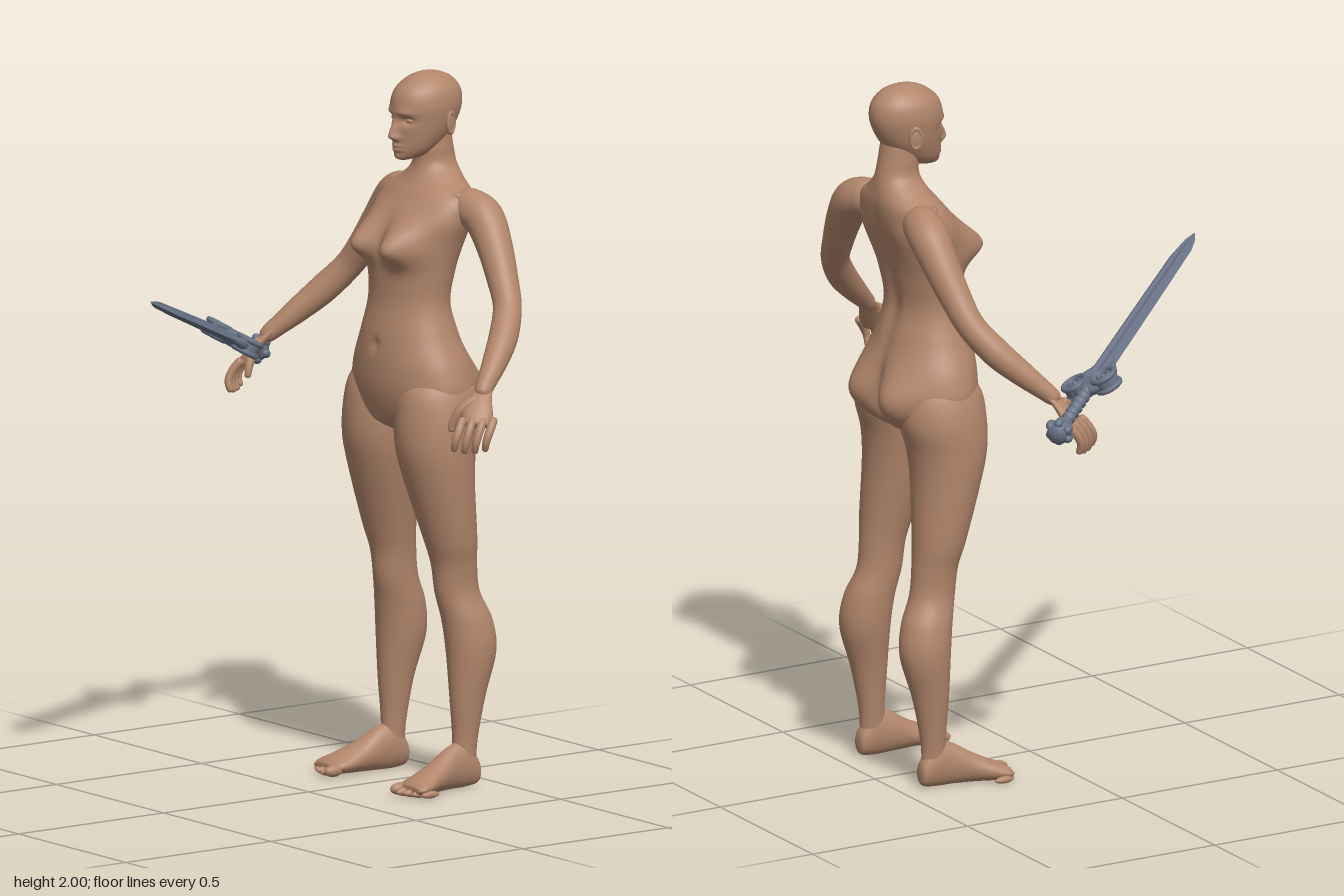
import * as THREE from 'three';

const skin = new THREE.MeshStandardMaterial({ color: 0xb2866b });
skin.name = 'skin';
const steel = new THREE.MeshStandardMaterial({ color: 0x687284 });
steel.name = 'steel';
const V = (x, y, z) => new THREE.Vector3(x, y, z);
const gauss = (d, s) => Math.exp(-(d * d) / (s * s));

// Closed skin over rings: fn(u, v) gives a point, u runs round and v along
function grid(nu, nv, fn) {
  const pos = [], idx = [], a = V(0, 0, 0), b = V(0, 0, 0);
  for (let j = 0; j <= nv; j++) for (let i = 0; i < nu; i++) {
    const p = fn(i / nu, j / nv);
    pos.push(p.x, p.y, p.z);
    if (j === 0) a.addScaledVector(p, 1 / nu);
    if (j === nv) b.addScaledVector(p, 1 / nu);
  }
  const n = nu * (nv + 1);
  pos.push(a.x, a.y, a.z, b.x, b.y, b.z);
  for (let i = 0; i < nu; i++) {
    const k = (i + 1) % nu;
    for (let j = 0; j < nv; j++) {
      const r = j * nu, s = r + nu;
      idx.push(r + i, r + k, s + k, r + i, s + k, s + i);
    }
    idx.push(n, k, i, n + 1, nv * nu + i, nv * nu + k);
  }
  const g = new THREE.BufferGeometry();
  g.setAttribute('position', new THREE.Float32BufferAttribute(pos, 3));
  g.setIndex(idx);
  g.computeVertexNormals();
  return g;
}

// Smooth interpolation of table rows, t from 0 to 1
function sample(rows, t) {
  const f = Math.min(t, 0.99999) * (rows.length - 1), i = Math.floor(f), w = f - i;
  const at = k => rows[Math.max(0, Math.min(rows.length - 1, k))];
  return rows[0].map((_, c) => {
    const [p, q, r, s] = [at(i - 1)[c], at(i)[c], at(i + 1)[c], at(i + 2)[c]];
    return q + 0.5 * w * (r - p + w * (2 * p - 5 * q + 4 * r - s + w * (3 * (q - r) + s - p)));
  });
}

// Upright loft, rows are [y, x right side, x left side, z front, z back]
function loft(rows, nu, nv, shape) {
  return grid(nu, nv, (u, v) => {
    const [y, x0, x1, zf, zb] = sample(rows, v), a = u * Math.PI * 2;
    const p = V((x0 + x1) / 2 + (x1 - x0) / 2 * Math.sin(a), y, (zf + zb) / 2 + (zf - zb) / 2 * Math.cos(a));
    if (shape) shape(p, Math.cos(a));
    return p;
  });
}
const symmetric = rows => rows.map(([y, r, zf, zb]) => [y, -r, r, zf, zb]);

// Round-ended limb, rows are [x, y, z, radius]; flat squashes it across ref
function limb(rows, nu, nv, flat = 1, ref = V(0, 0, 1)) {
  const at = t => V(...sample(rows, t).slice(0, 3));
  return grid(nu, nv, (u, v) => {
    const t = 0.5 - 0.5 * Math.cos(v * Math.PI), a = u * Math.PI * 2;
    const dir = at(Math.min(1, t + 0.01)).sub(at(Math.max(0, t - 0.01))).normalize();
    const n = dir.clone().cross(ref).normalize(), b = dir.clone().cross(n);
    const e = Math.min(1, Math.min(t, 1 - t) / 0.1);
    const r = sample(rows, t)[3] * Math.sqrt(Math.max(0.0001, 1 - (1 - e) ** 2));
    return at(t).addScaledVector(n, r * flat * Math.cos(a)).addScaledVector(b, r * Math.sin(a));
  });
}

function ellipsoid(x, y, z, rx, ry, rz) {
  return new THREE.SphereGeometry(1, 20, 14).scale(rx, ry, rz).translate(x, y, z);
}

function mirrored(g) {
  const m = g.clone().scale(-1, 1, 1), i = m.index.array;
  for (let k = 0; k < i.length; k += 3) [i[k], i[k + 1]] = [i[k + 1], i[k]];
  return m;
}

function buildSword() {
  const sword = new THREE.Group();
  sword.name = 'sword';
  const add = (name, g) => {
    const m = new THREE.Mesh(g, steel);
    m.name = name;
    sword.add(m);
    return m;
  };
  const lathe = pts => new THREE.LatheGeometry(pts.map(p => new THREE.Vector2(...p)), 20);
  // Pommel with a ring of knobs
  add('pommel', lathe([[0.001, -0.035], [0.02, -0.033], [0.03, -0.02], [0.026, -0.012], [0.036, 0], [0.03, 0.016], [0.02, 0.022], [0.026, 0.032], [0.015, 0.042]]));
  for (let i = 0; i < 6; i++) {
    const a = i * Math.PI / 3;
    add('pommelKnob', ellipsoid(0.03 * Math.cos(a), 0, 0.03 * Math.sin(a), 0.013, 0.018, 0.013));
  }
  // Ridged grip
  const grip = [];
  for (let i = 0; i <= 40; i++) grip.push([0.017 + 0.003 * Math.sin(i * 1.05), 0.035 + i * 0.0043]);
  add('grip', lathe(grip));
  // Guard: centre block and two ringed scrolls
  add('guardCentre', ellipsoid(0, 0.225, 0, 0.06, 0.04, 0.024));
  for (const s of [-1, 1]) {
    const x = s * 0.05, y = 0.232;
    add('guardScroll', new THREE.CylinderGeometry(0.036, 0.036, 0.034, 24).rotateX(Math.PI / 2).translate(x, y, 0));
    for (const z of [-0.017, 0.017]) {
      add('scrollRim', new THREE.TorusGeometry(0.034, 0.008, 8, 28).translate(x, y, z));
      add('scrollRing', new THREE.TorusGeometry(0.017, 0.005, 8, 20).translate(x, y, z));
      add('scrollBoss', ellipsoid(x, y, z, 0.007, 0.007, 0.006));
    }
    add('guardHorn', limb([[s * 0.035, 0.2, 0, 0.012], [s * 0.05, 0.265, 0, 0.016], [s * 0.036, 0.31, 0, 0.01], [s * 0.03, 0.34, 0, 0.004]], 10, 14));
  }
  // Blade with a central groove
  const cut = [[0, 0.35], [0.2, 0.35], [0.42, 0.9], [1, 0], [0.42, -0.9], [0.2, -0.35], [0, -0.35], [-0.2, -0.35], [-0.42, -0.9], [-1, 0], [-0.42, 0.9], [-0.2, 0.35]];
  const rings = [[0.22, 0.042, 0.017], [0.3, 0.044, 0.016], [0.6, 0.041, 0.014], [0.88, 0.037, 0.012], [0.94, 0.022, 0.009], [0.98, 0.001, 0.001]];
  const blade = grid(12, 5, (u, v) => {
    const [y, w, t] = rings[Math.round(v * 5)], c = cut[Math.round(u * 12)];
    return V(c[0] * w, y, c[1] * t);
  }).toNonIndexed();
  blade.computeVertexNormals();
  add('blade', blade);
  // Aim the blade forward, up and across the body
  const dir = V(0.542, 0.306, 0.76).normalize();
  const wide = V(0.89, -0.4, -0.47).addScaledVector(dir, -V(0.89, -0.4, -0.47).dot(dir)).normalize();
  sword.quaternion.setFromRotationMatrix(new THREE.Matrix4().makeBasis(wide, dir, wide.clone().cross(dir)));
  sword.position.set(-0.58, 1.13, -0.25);
  return sword;
}

export function createModel() {
  const model = new THREE.Group();
  model.name = 'swordBearer';
  const body = new THREE.Group();
  body.name = 'body';
  body.position.x = 0.03;
  model.add(body, buildSword());
  const add = (name, g) => {
    const m = new THREE.Mesh(g, skin);
    m.name = name;
    body.add(m);
  };
  const pair = (name, g) => {
    add(name + 'Left', g);
    add(name + 'Right', mirrored(g));
  };

  // Torso and neck
  const torso = symmetric([[0.995, 0.03, -0.28, -0.4], [1.03, 0.15, -0.23, -0.445], [1.1, 0.212, -0.206, -0.465], [1.18, 0.203, -0.2, -0.465],
    [1.27, 0.163, -0.208, -0.445], [1.36, 0.137, -0.225, -0.425], [1.45, 0.144, -0.228, -0.44], [1.53, 0.158, -0.232, -0.462],
    [1.6, 0.175, -0.258, -0.478], [1.66, 0.165, -0.3, -0.485], [1.7, 0.105, -0.33, -0.482], [1.74, 0.06, -0.348, -0.475],
    [1.79, 0.053, -0.348, -0.465], [1.85, 0.05, -0.35, -0.455]]);
  add('torso', loft(torso, 96, 120, (p, c) => {
    const x = Math.abs(p.x), k = Math.min(1, Math.abs(c) * 2.5);
    if (c > 0) p.z += k * (0.066 * gauss(x - 0.075, 0.05) * gauss(p.y - 1.522, p.y > 1.522 ? 0.065 : 0.045)
      - 0.01 * gauss(x, 0.014) * gauss(p.y - 1.245, 0.016));
    else p.z -= k * (0.058 * gauss(x - 0.095, 0.075) * gauss(p.y - 1.1, 0.085) - 0.02 * gauss(x, 0.022) * gauss(p.y - 1.09, 0.09)
      - 0.014 * gauss(x, 0.03) * gauss(p.y - 1.42, 0.18) + 0.01 * gauss(x - 0.1, 0.04) * gauss(p.y - 1.58, 0.07));
  }));
  pair('collarbone', limb([[0.015, 1.655, -0.318, 0.008], [0.08, 1.66, -0.335, 0.01], [0.16, 1.668, -0.39, 0.012]], 10, 14));

  // Head with a softly modelled face
  const head = symmetric([[1.758, 0.012, -0.295, -0.32], [1.766, 0.03, -0.284, -0.37], [1.79, 0.05, -0.28, -0.41], [1.83, 0.067, -0.278, -0.455],
    [1.87, 0.077, -0.276, -0.48], [1.91, 0.082, -0.274, -0.492], [1.95, 0.075, -0.287, -0.486], [1.98, 0.052, -0.32, -0.46],
    [1.995, 0.025, -0.355, -0.425], [2, 0.003, -0.388, -0.395]]);
  add('head', loft(head, 128, 120, (p, c) => {
    if (c < 0) return;
    const x = Math.abs(p.x), y = p.y;
    p.z += 0.024 * gauss(x, 0.012) * gauss(y - 1.828, y > 1.828 ? 0.035 : 0.012) + 0.008 * gauss(x - 0.012, 0.008) * gauss(y - 1.822, 0.009)
      - 0.012 * gauss(x - 0.033, 0.018) * gauss(y - 1.872, 0.013) + 0.005 * gauss(x - 0.034, 0.024) * gauss(y - 1.894, 0.009)
      + 0.008 * gauss(x, 0.02) * (gauss(y - 1.8, 0.006) + gauss(y - 1.788, 0.006)) + 0.005 * gauss(x, 0.02) * gauss(y - 1.768, 0.012);
  }));
  pair('eye', ellipsoid(0.033, 1.872, -0.305, 0.015, 0.009, 0.013));
  pair('ear', ellipsoid(0, 0, 0, 0.009, 0.032, 0.02).rotateY(0.35).translate(0.086, 1.862, -0.402));
  pair('earRim', new THREE.TorusGeometry(0.02, 0.005, 8, 20).scale(0.8, 1.4, 1).rotateY(Math.PI / 2 + 0.35).translate(0.09, 1.864, -0.403));

  // Legs
  pair('leg', loft([[0.03, 0.14, 0.195, -0.345, -0.43], [0.124, 0.135, 0.198, -0.357, -0.43], [0.257, 0.12, 0.214, -0.35, -0.455],
    [0.38, 0.097, 0.23, -0.345, -0.49], [0.47, 0.09, 0.222, -0.335, -0.482], [0.55, 0.087, 0.2, -0.318, -0.45], [0.63, 0.08, 0.204, -0.308, -0.44],
    [0.706, 0.065, 0.219, -0.285, -0.436], [0.865, 0.028, 0.232, -0.236, -0.43], [0.96, 0.011, 0.236, -0.212, -0.438],
    [1.05, 0.006, 0.233, -0.21, -0.462], [1.13, 0.02, 0.213, -0.225, -0.45], [1.2, 0.06, 0.17, -0.28, -0.4]], 48, 90));

  // Feet, lofted from heel to toe, with separate toes
  pair('foot', loft([[-0.438, 0.16, 0.176, -0.03, -0.05], [-0.43, 0.143, 0.192, -0.007, -0.08], [-0.39, 0.135, 0.2, 0, -0.13],
    [-0.34, 0.134, 0.207, 0, -0.12], [-0.28, 0.135, 0.225, 0, -0.085], [-0.23, 0.135, 0.246, 0, -0.06],
    [-0.195, 0.14, 0.255, -0.004, -0.045], [-0.178, 0.155, 0.245, -0.012, -0.032]], 36, 40).rotateX(Math.PI / 2));
  for (let i = 0; i < 5; i++) {
    const r = i ? 0.0125 - i * 0.0006 : 0.017;
    pair('toe', ellipsoid(0.154 + i * 0.024, r + 0.001, -0.178 - i * i * 0.0022, r, r, 0.03));
  }

  // Arms
  pair('arm', limb([[0.1, 1.635, -0.415, 0.045], [0.15, 1.632, -0.42, 0.055], [0.205, 1.61, -0.43, 0.057], [0.26, 1.545, -0.425, 0.051], [0.32, 1.46, -0.41, 0.044],
    [0.37, 1.39, -0.39, 0.04], [0.42, 1.32, -0.34, 0.041], [0.46, 1.26, -0.28, 0.035], [0.495, 1.205, -0.22, 0.026], [0.51, 1.18, -0.195, 0.024]], 32, 70));

  // Hands
  pair('palm', limb([[0.487, 1.215, -0.23, 0.024], [0.508, 1.18, -0.198, 0.03], [0.528, 1.14, -0.172, 0.042], [0.542, 1.105, -0.155, 0.04]],
    24, 24, 0.45, V(0.55, 0.1, -0.75)));
  for (let i = 0; i < 4; i++) {
    const w = i / 3, x = 0.516 + 0.05 * w, z = -0.125 - 0.07 * w, long = 0.006 * (i === 1 || i === 2);
    pair('finger', limb([[x, 1.13, z - 0.005, 0.012], [x + 0.012, 1.1, z + 0.018, 0.012], [x + 0.014, 1.07 - long, z + 0.032, 0.011],
      [x + 0.004, 1.04 - long, z + 0.03, 0.009]], 12, 18));
  }
  pair('thumb', limb([[0.508, 1.18, -0.185, 0.015], [0.49, 1.15, -0.145, 0.016], [0.478, 1.115, -0.125, 0.012], [0.474, 1.085, -0.118, 0.009]], 12, 18));
  return model;
}
